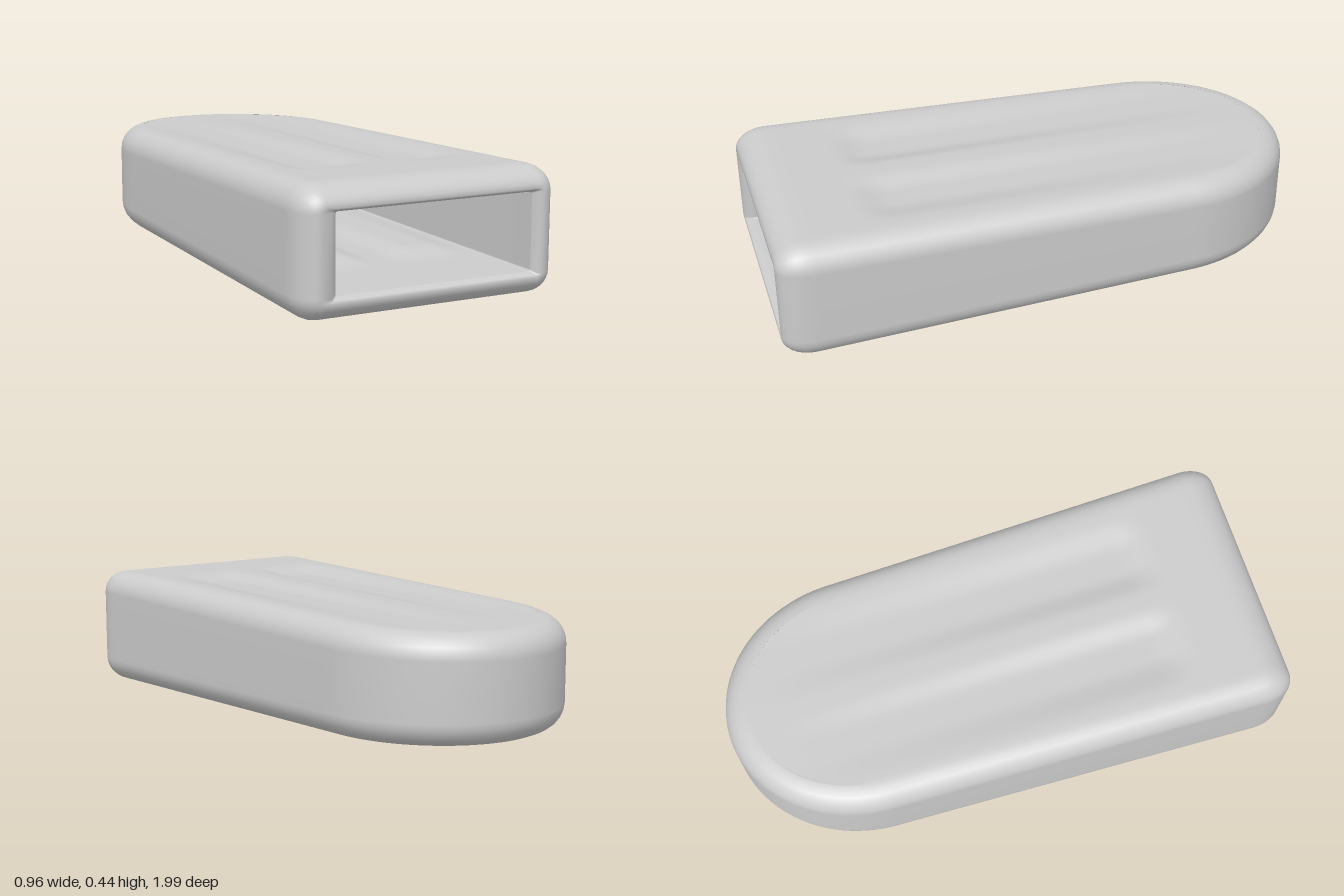
import * as THREE from 'three';
import { mergeVertices } from 'three/addons/utils/BufferGeometryUtils.js';

const MID_Y = 0.222, NOSE_Z = -0.5, FRONT_Z = 0.88;
const FILLET = 0.085, COLS = 44, ARC = 6;
const smooth = (v, a, b) => THREE.MathUtils.smoothstep(v, a, b);
const halfHeight = z => 0.203 + 0.0175 * z;
const halfWidth = z => 0.445 + 0.0255 * (z - NOSE_Z);

// Depth of the two long shallow grooves pressed into the top and bottom
function groove(x, z) {
  const ax = Math.abs(x);
  const across = smooth(ax, 0.03, 0.13) * (1 - smooth(ax, 0.22, 0.35));
  const along = (1 - smooth(z, 0.54, 0.68)) * (0.3 + 0.7 * smooth(z, -0.8, 0.5)) * smooth(z, -0.92, -0.5);
  return 0.02 * across * along;
}

// Half of the plan outline from nose tip to front, inset by a wall thickness
function outline(inset, drop, r) {
  const rows = [];
  for (let i = 0; i < 24; i++) {
    const t = (i / 24) * Math.PI / 2;
    const n = new THREE.Vector2(Math.sin(t) / 0.445, -Math.cos(t) / 0.5).normalize();
    const x = 0.445 * Math.sin(t) - inset * n.x;
    const z = NOSE_Z - 0.5 * Math.cos(t) - inset * n.y;
    rows.push({ x, z, nx: n.x, nz: n.y, h: halfHeight(z) - drop, r });
  }
  for (let i = 0; i <= 48; i++) {
    const z = NOSE_Z + (FRONT_Z - NOSE_Z) * i / 48;
    rows.push({ x: halfWidth(z) - inset, z, nx: 1, nz: 0, h: halfHeight(z) - drop, r });
  }
  return rows;
}

// Closed rounded-rectangle ring for one row
function ring({ x, z, nx, nz, h, r, shift = 0 }) {
  const pts = [];
  const plate = side => {
    for (let k = 0; k <= COLS; k++) {
      const px = side * (2 * k / COLS - 1) * (x - r * nx);
      const pz = z - r * nz;
      pts.push(px + shift, MID_Y + side * (h - groove(px, pz)), pz);
    }
  };
  const flank = side => {
    for (const up of [side, -side]) {
      for (let k = 0; k <= ARC; k++) {
        const a = (up === side ? k : ARC - k) / ARC * Math.PI / 2;
        const d = r * (1 - Math.sin(a));
        pts.push(side * (x - d * nx) + shift, MID_Y + up * (h - r + r * Math.cos(a)), z - d * nz);
      }
    }
  };
  plate(1);
  flank(1);
  plate(-1);
  flank(-1);
  pts.push(pts[0], pts[1], pts[2]);
  return pts;
}

// Skin a list of rows into one smooth surface
function skin(rows, name) {
  const rings = rows.map(ring);
  const n = rings[0].length / 3, index = [];
  for (let i = 0; i < rows.length - 1; i++) {
    for (let j = 0; j < n - 1; j++) {
      const a = i * n + j, b = a + 1, d = a + n, c = d + 1;
      index.push(a, d, c, a, c, b);
    }
  }
  let geo = new THREE.BufferGeometry();
  geo.setAttribute('position', new THREE.Float32BufferAttribute(rings.flat(), 3));
  geo.setIndex(index);
  geo = mergeVertices(geo, 1e-5);
  geo.computeVertexNormals();
  const mesh = new THREE.Mesh(geo, new THREE.MeshStandardMaterial({ color: 0xcccccc, side: THREE.DoubleSide }));
  mesh.name = name;
  return mesh;
}

export function createModel() {
  const group = new THREE.Group();
  group.name = 'hollowSleeve';

  // Outer shell, then the rounded rim rolling in to the mouth
  const outer = outline(0, 0, FILLET);
  const last = outer[outer.length - 1];
  const rim = (inX, inY, z, shift = 0) => ({
    ...last, x: last.x - inX, h: last.h - inY, z, shift, r: Math.max(FILLET - inX, 0.006),
  });
  for (let k = 1; k <= 8; k++) {
    const b = k / 8 * Math.PI / 2;
    const d = 0.07 * (1 - Math.cos(b));
    outer.push(rim(d, d, FRONT_Z + 0.11 * Math.sin(b)));
  }
  outer.push(rim(0.095, 0.076, 0.985, 0.009), rim(0.113, 0.085, 0.96, 0.017));
  group.add(skin(outer, 'outerShell'));

  // Hollow inside, running from the mouth back to the curved end
  const inner = outline(0.113, 0.085, 0.006).map(row => ({ ...row, shift: 0.017 }));
  const mouth = inner[inner.length - 1];
  inner.push({ ...mouth, z: 0.96 });
  group.add(skin(inner.reverse(), 'innerCavity'));

  return group;
}
